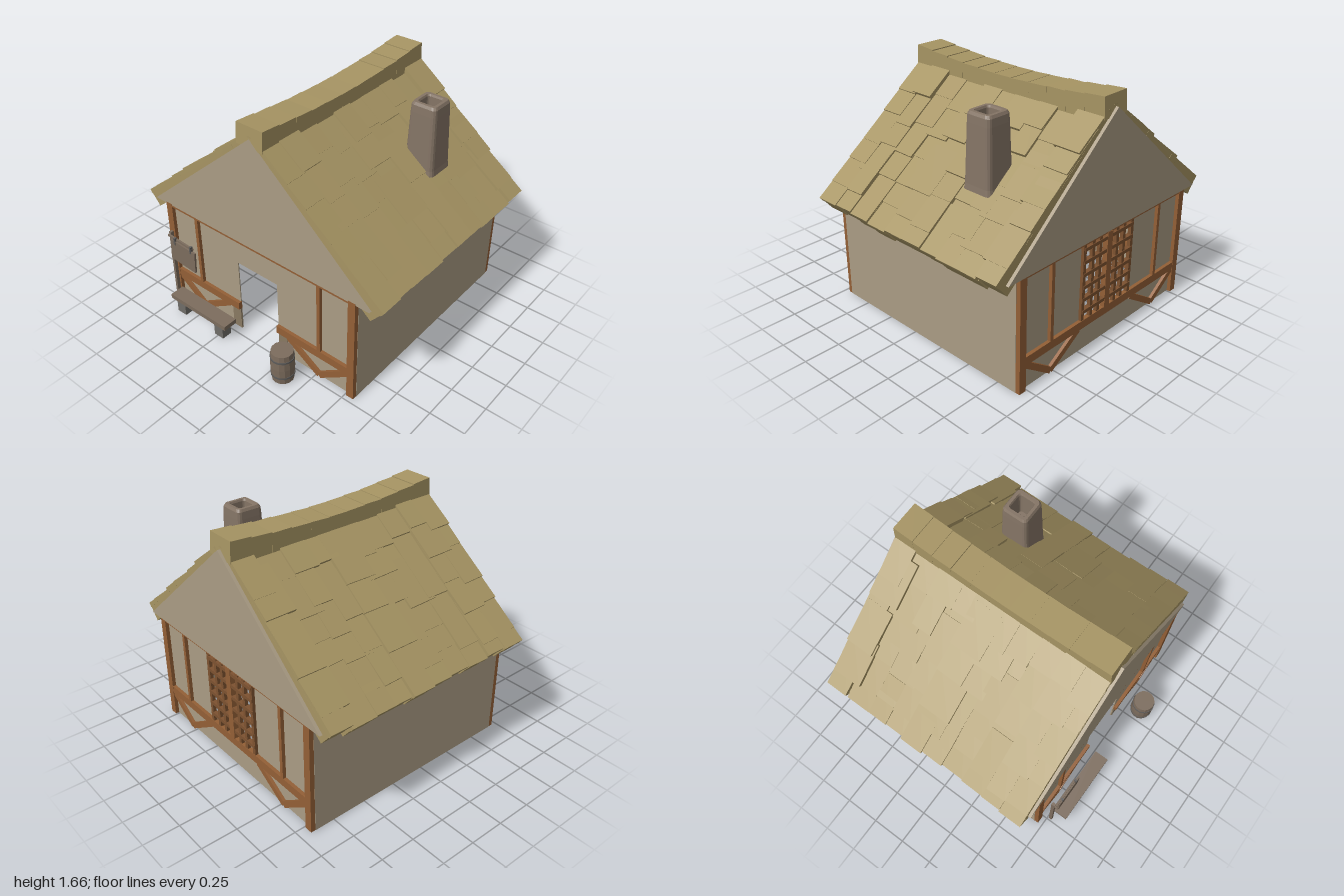
import * as THREE from 'three';

const mat = (name, color, double) => {
  const m = new THREE.MeshStandardMaterial({ color });
  m.name = name;
  if (double) m.side = THREE.DoubleSide;
  return m;
};

export function createModel() {
  const M = {
    thatch: mat('thatch', 0xa69463),
    plaster: mat('plaster', 0xaa9c84, true),
    shade: mat('dark plaster', 0x897962),
    timber: mat('timber', 0x935f36),
    lattice: mat('dark timber', 0x7d5230),
    stone: mat('chimney stone', 0x847465, true),
    plank: mat('weathered plank', 0x7c6c5d),
    block: mat('grey block', 0x6f6c68),
    iron: mat('iron', 0x5e5c5a),
  };
  const model = new THREE.Group();
  let seed = 7;
  const rnd = (a, b) => {
    seed = (seed * 16807) % 2147483647;
    return a + (b - a) * (seed / 2147483647);
  };
  const add = (parent, name, geo, m, x = 0, y = 0, z = 0) => {
    const mesh = new THREE.Mesh(geo, m);
    mesh.name = name;
    mesh.position.set(x, y, z);
    parent.add(mesh);
    return mesh;
  };
  // box given by its limits
  const box = (parent, name, m, x0, x1, y0, y1, z0, z1) =>
    add(parent, name, new THREE.BoxGeometry(x1 - x0, y1 - y0, z1 - z0), m,
      (x0 + x1) / 2, (y0 + y1) / 2, (z0 + z1) / 2);
  // flat bar between two points in the xy plane
  const bar = (parent, name, m, x0, y0, x1, y1, w, d) => {
    const b = add(parent, name, new THREE.BoxGeometry(Math.hypot(x1 - x0, y1 - y0), w, d), m,
      (x0 + x1) / 2, (y0 + y1) / 2, 0);
    b.rotation.z = Math.atan2(y1 - y0, x1 - x0);
    return b;
  };
  const shape = pts => new THREE.Shape(pts.map(p => new THREE.Vector2(...p)));
  const slab = (s, depth) => new THREE.ExtrudeGeometry(s, { depth, bevelEnabled: false });
  const group = name => {
    const g = new THREE.Group();
    g.name = name;
    model.add(g);
    return g;
  };
  const MID = -0.105;

  // plaster walls: door notch in front, window hole behind
  add(model, 'frontWall', slab(shape([[-0.8, 0], [-0.175, 0], [-0.175, 0.575], [0.17, 0.575],
    [0.17, 0], [0.8, 0], [0.8, 0.8], [-0.8, 0.8]]), 0.008), M.plaster, 0, 0, 0.683);
  const backShape = shape([[-0.8, 0], [0.8, 0], [0.8, 0.8], [-0.8, 0.8]]);
  backShape.holes.push(shape([[-0.25, 0.22], [-0.25, 0.78], [0.25, 0.78], [0.25, 0.22]]));
  add(model, 'backWall', slab(backShape, 0.008), M.plaster, 0, 0, -0.901);
  for (const s of [-1, 1]) {
    box(model, 'sideWall', M.plaster, s * 0.812 - 0.004, s * 0.812 + 0.004, 0, 0.86, -0.895, 0.685);
    box(model, 'doorFlank', M.shade, s * 0.212 - 0.038, s * 0.212 + 0.038, 0, 0.18, 0.69, 0.698);
  }

  // gables
  for (const z of [0.692, -0.932])
    add(model, 'gable', slab(shape([[-0.915, 0.785], [0.915, 0.785], [0, 1.58]]), 0.024), M.plaster, 0, 0, z);

  // timber framing of one wall, drawn in xy
  const frame = (name, half, stud, gap) => {
    const g = group(name), d = 0.03;
    box(g, 'topPlate', M.timber, -half, half, 0.77, 0.795, -d / 2, d / 2);
    for (const s of [-1, 1]) {
      const span = (a, b, y0, y1) => box(g, 'beam', M.timber,
        Math.min(s * a, s * b), Math.max(s * a, s * b), y0, y1, -d / 2, d / 2);
      span(gap, half, 0.18, 0.238);
      span(stud - 0.013, stud + 0.013, 0.238, 0.77);
      bar(g, 'brace', M.timber, s * (half - 0.01), 0.185, s * stud, 0.02, 0.042, d * 0.8);
      bar(g, 'brace', M.timber, s * stud, 0.02, s * (stud - 0.26), 0.185, 0.042, d * 0.8);
    }
    return g;
  };
  frame('frontFrame', 0.77, 0.53, 0.172).position.z = 0.7;
  const backFrame = frame('backFrame', 0.77, 0.53, 0);
  backFrame.position.z = -0.91;
  for (const s of [-1, 1]) {
    const side = frame('sideFrame', 0.77, 0.45, 0);
    side.rotation.y = Math.PI / 2;
    side.position.set(s * 0.788, 0, MID);
    for (const z of [0.689, -0.899])
      box(model, 'cornerPost', M.timber, s * 0.787 - 0.027, s * 0.787 + 0.027, 0, 0.795, z - 0.028, z + 0.028);
  }

  // lattice window in the back wall
  box(backFrame, 'windowPost', M.timber, -0.025, 0.025, 0.23, 0.775, -0.018, 0.018);
  for (const s of [-1, 1]) {
    for (const x of [0.085, 0.155, 0.238])
      box(backFrame, 'latticeUpright', M.lattice, s * x - 0.013, s * x + 0.013, 0.23, 0.775, -0.012, 0.012);
  }
  for (let i = 0; i < 6; i++) {
    const y = 0.298 + i * 0.088;
    box(backFrame, 'latticeRail', M.lattice, -0.245, 0.245, y - 0.012, y + 0.012, -0.016, 0.016);
  }

  // thatched roof: uneven columns of thick slabs under overlapping bundles
  const ANG = 0.695;
  const edges = [-0.91, -0.75, -0.565, -0.42, -0.28, -0.11, 0.05, 0.215, 0.38, 0.525, 0.695];
  const drop = [0, -0.02, -0.012, -0.012, 0, -0.006, -0.01, -0.01, 0.004, 0];
  const sag = z => -0.052 * (1 - ((z - MID) / 0.8) ** 2);
  for (const s of [-1, 1]) {
    const slope = group(s > 0 ? 'leftRoof' : 'rightRoof');
    slope.position.set(0, 1.639, 0);
    if (s < 0) slope.rotation.y = Math.PI;
    // pitched plane: +x runs down the slope, y is its outward normal
    const pitch = new THREE.Group();
    pitch.rotation.z = -ANG;
    slope.add(pitch);
    drop.forEach((fall, c) => {
      const z = (edges[c] + edges[c + 1]) / 2, half = (edges[c + 1] - edges[c]) / 2;
      const low = sag(z) * 0.35 + fall;
      const end = 1.297 + rnd(-0.015, 0.008);
      box(pitch, 'thatchSlab', M.thatch, 0.03, end, -0.13 + low, -0.022 + low, s * z - half, s * z + half);
      for (let r = 0; r < 6; r++) {
        const bottom = r === 5 ? end + 0.004 : 0.37 + r * 0.2 + rnd(-0.05, 0.05);
        const top = Math.max(0.08, bottom - 0.33);
        const wide = c < 9 && r < 5 && rnd(0, 1) > 0.55 ? rnd(0.02, 0.07) : 0;
        const b = add(pitch, 'thatchBundle', new THREE.BoxGeometry(bottom - top, 0.032, 2 * half + wide - 0.001),
          M.thatch, (bottom + top) / 2, -0.018 + low + rnd(-0.006, 0.008), s * (z + wide / 2));
        b.rotation.z = 0.04 + rnd(-0.01, 0.02);
        b.rotation.y = rnd(-0.02, 0.02);
      }
    });
  }
  // sagging ridge cap of stepped bundles
  const ridge = group('ridgeCap');
  for (let i = 0; i < 11; i++) {
    const w = 1.605 / 11, z = -0.91 + (i + 0.5) * w, y = 1.665 + sag(z);
    const b = box(ridge, 'ridgeBundle', M.thatch, -0.105, 0.105, y - 0.14, y, z - w / 2, z + w / 2);
    b.rotation.x = -0.04 * (z - MID) + rnd(-0.05, 0.05);
  }

  // chimney lofted from rounded squares [half width, height, centre x], down into the flue
  const rings = [[0.114, 1.08, 0.528], [0.109, 1.12, 0.528], [0.097, 1.5, 0.526], [0.094, 1.55, 0.526],
    [0.084, 1.568, 0.526], [0.064, 1.568, 0.526], [0.058, 1.555, 0.526], [0.055, 1.36, 0.526]];
  const pos = [], idx = [], K = 16;
  rings.forEach(([h, y, cx], j) => {
    const r = h * 0.3;
    for (let k = 0; k < K; k++) {
      const q = Math.floor(k / 4), a = q * Math.PI / 2 + (k % 4) * Math.PI / 6;
      const sx = q === 0 || q === 3 ? 1 : -1, sz = q < 2 ? 1 : -1;
      pos.push(cx + sx * (h - r) + r * Math.cos(a), y, -0.4 + sz * (h - r) + r * Math.sin(a));
      if (j) {
        const a0 = (j - 1) * K + k, a1 = (j - 1) * K + (k + 1) % K;
        idx.push(a0, a0 + K, a1, a1, a0 + K, a1 + K);
      }
    }
  });
  const base = (rings.length - 1) * K;
  for (let k = 1; k < K - 1; k++) idx.push(base, base + k + 1, base + k);
  const chimney = new THREE.BufferGeometry();
  chimney.setAttribute('position', new THREE.Float32BufferAttribute(pos, 3));
  chimney.setIndex(idx);
  const chimneyFlat = chimney.toNonIndexed();
  chimneyFlat.computeVertexNormals();
  add(model, 'chimney', chimneyFlat, M.stone);

  // barrel
  const barrel = group('barrel');
  barrel.position.set(0.343, 0, 0.848);
  const profile = [[0, 0], [0.074, 0], [0.079, 0.06], [0.081, 0.118], [0.079, 0.176], [0.075, 0.234], [0, 0.234]];
  const staves = new THREE.LatheGeometry(profile.map(p => new THREE.Vector2(...p)), 14).toNonIndexed();
  staves.computeVertexNormals();
  add(barrel, 'staves', staves, M.plank);
  for (const y of [0.05, 0.185])
    add(barrel, 'hoop', new THREE.CylinderGeometry(0.082, 0.082, 0.014, 14), M.iron, 0, y, 0);

  // bench
  const bench = group('bench');
  box(bench, 'seat', M.plank, -0.69, -0.16, 0.105, 0.138, 0.765, 0.872);
  for (const x of [-0.61, -0.24])
    box(bench, 'benchLeg', M.block, x - 0.04, x + 0.04, 0, 0.105, 0.782, 0.858);

  // hanging sign
  const sign = group('sign');
  box(sign, 'signPost', M.plank, -0.739, -0.719, 0, 0.615, 0.76, 0.784);
  const arm = bar(sign, 'signArm', M.plank, -0.74, 0.59, -0.5, 0.578, 0.014, 0.014);
  arm.position.z = 0.79;
  const board = box(sign, 'signBoard', M.plank, -0.71, -0.475, 0.405, 0.572, 0.792, 0.806);
  board.rotation.z = -0.06;
  for (const x of [-0.665, -0.51])
    box(sign, 'signHook', M.iron, x - 0.007, x + 0.007, 0.55, 0.603, 0.789, 0.809);

  return model;
}
